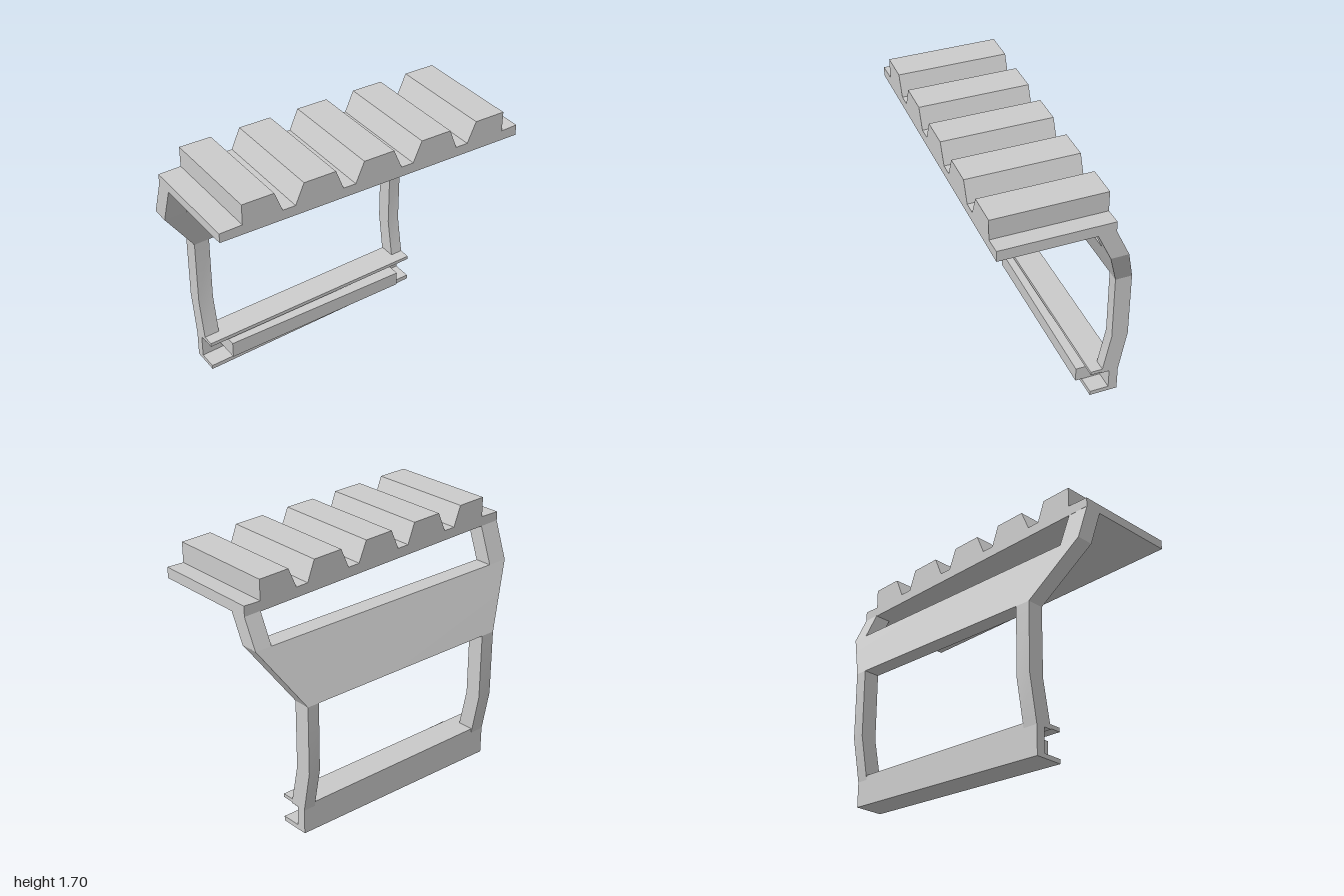
import * as THREE from 'three';
import { toCreasedNormals } from 'three/addons/utils/BufferGeometryUtils.js';

const YAW = 0.01; // slight turn: z grows with x

export function createModel() {
  const group = new THREE.Group();
  const material = new THREE.MeshStandardMaterial({ color: 0xcccccc });

  function add(name, geometry) {
    const mesh = new THREE.Mesh(toCreasedNormals(geometry, 0.7), material);
    mesh.name = name;
    group.add(mesh);
  }

  // Solid through four-cornered sections, closed at both ends
  function loft(name, sections) {
    const index = [];
    for (let s = 0; s < sections.length - 1; s++) {
      for (let i = 0; i < 4; i++) {
        const a = s * 4 + i, b = s * 4 + (i + 1) % 4;
        index.push(a, b, b + 4, a, b + 4, a + 4);
      }
    }
    const e = (sections.length - 1) * 4;
    index.push(0, 2, 1, 0, 3, 2, e, e + 1, e + 2, e, e + 2, e + 3);
    const geometry = new THREE.BufferGeometry();
    geometry.setAttribute('position', new THREE.Float32BufferAttribute(sections.flat(2), 3));
    geometry.setIndex(index);
    add(name, geometry);
  }

  // Level section of the frame, tilted sideways by slope
  const level = (y, slope, zFront, zBack) => (x0, x1) =>
    [[x0, zFront], [x1, zFront], [x1, zBack], [x0, zBack]]
      .map(([x, z]) => [x, y + slope * x, z + YAW * x]);

  const base = level(0.22, 0.046, -0.3, -0.41);
  const knee = level(0.5, 0.04, -0.355, -0.46);
  const panelBottom = level(0.94, 0.04, -0.355, -0.46);
  const panelTop = level(1.31, 0.032, -0.2, -0.31);
  const deckJoint = level(1.54, 0, -0.108, -0.218);

  // Bent legs, sloping panel and the short arms under the deck
  for (const [side, x0, x1] of [['right', -0.75, -0.65], ['left', 0.69, 0.77]]) {
    loft(side + 'Leg', [base(x0, x1), knee(x0, x1), panelBottom(x0, x1)]);
  }
  loft('panel', [panelBottom(-0.75, 0.77), panelTop(-1, 1)]);
  for (const [side, x0, x1] of [['right', -1, -0.86], ['left', 0.89, 1]]) {
    loft(side + 'Arm', [panelTop(x0, x1), deckJoint(x0, x1)]);
  }

  // Sideways beam; each end is [x, yLow, yHigh]
  function beam(name, zBack, zFront, ...ends) {
    loft(name, ends.map(([x, lo, hi]) =>
      [[lo, zBack], [hi, zBack], [hi, zFront], [lo, zFront]]
        .map(([y, z]) => [x, y, z + YAW * x])));
  }

  // Open channel at the foot with a bar lying in it
  beam('channelWeb', -0.41, -0.352, [-0.75, 0.005, 0.215], [0.77, 0.095, 0.285]);
  beam('channelTopFlange', -0.405, -0.23, [-0.75, 0.19, 0.215], [0.77, 0.262, 0.285]);
  beam('channelBottomFlange', -0.405, -0.23, [-0.75, 0.005, 0.033], [0.77, 0.095, 0.125]);
  beam('channelBar', -0.36, -0.186, [-0.62, 0.078, 0.187], [0.65, 0.124, 0.22]);

  // Deck with five ridges, one profile extruded front to back
  const floor = 1.58, crest = 1.707;
  const ridges = [
    [-0.86, -0.86, -0.66, -0.61], [-0.53, -0.475, -0.27, -0.22],
    [-0.14, -0.085, 0.115, 0.17], [0.25, 0.305, 0.505, 0.555], [0.635, 0.69, 0.89, 0.89],
  ];
  const outline = [[1, 1.517], [1, floor + 0.005]];
  for (const [a, b, c, d] of ridges.reverse()) {
    outline.push([d, floor], [c, crest], [b, crest], [a, floor]);
  }
  outline.push([-1, floor - 0.005], [-1, 1.517]);
  const deck = new THREE.ExtrudeGeometry(
    new THREE.Shape(outline.map(([x, y]) => new THREE.Vector2(x, y))),
    { depth: 0.685, bevelEnabled: false });
  deck.translate(0, 0, -0.227);
  const p = deck.attributes.position;
  for (let i = 0; i < p.count; i++) p.setZ(i, p.getZ(i) + YAW * p.getX(i));
  add('ridgedDeck', deck);

  return group;
}
